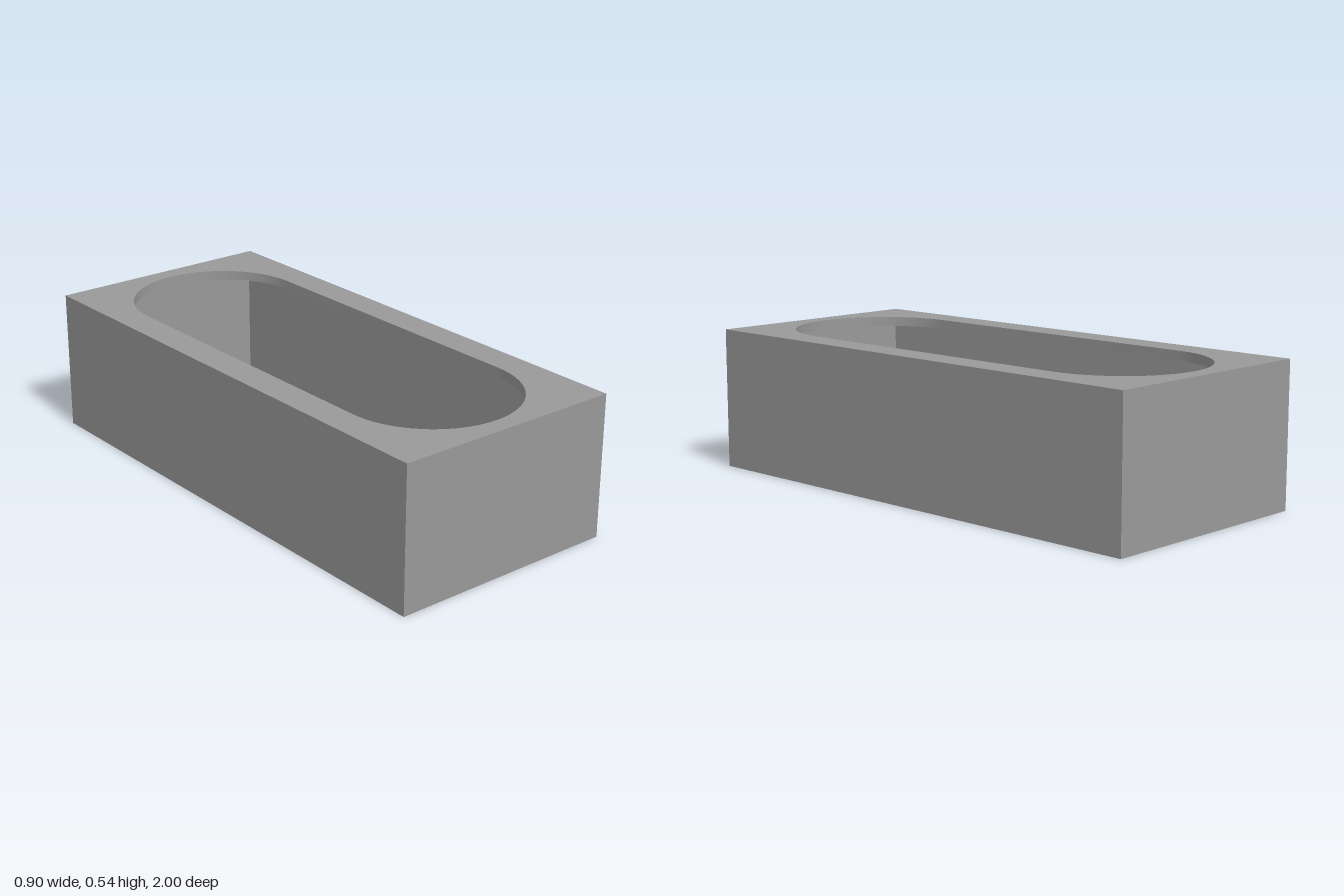
import * as THREE from 'three';
import { mergeGeometries, toCreasedNormals } from 'three/addons/utils/BufferGeometryUtils.js';

// Overall size and thicknesses
const W = 0.896, H = 0.54, L = 2;
const WALL = 0.03, FLOOR = 0.042, RIM = 0.036;

// Outlines, counter-clockwise
function rect(w, l) {
  const x = w / 2, z = l / 2;
  return [[-x, -z], [x, -z], [x, z], [-x, z]].map(([a, b]) => new THREE.Vector2(a, b));
}

// Two half circles joined by straight sides; straight = 0 gives a circle
function stadium(cx, r, straight, segments) {
  const points = [];
  for (const half of [0, 1]) {
    const last = straight > 0 ? segments : segments - 1;
    for (let i = 0; i <= last; i++) {
      const a = Math.PI * (half + i / segments);
      points.push(new THREE.Vector2(cx + r * Math.cos(a), (half ? -straight : straight) + r * Math.sin(a)));
    }
  }
  return points;
}

// Horizontal face at height y, looking up or down
function face(outline, hole, y, up) {
  const shape = new THREE.Shape(outline);
  if (hole) shape.holes.push(new THREE.Path(hole));
  return new THREE.ShapeGeometry(shape)
    .rotateX(up ? -Math.PI / 2 : Math.PI / 2)
    .translate(0, y, 0)
    .toNonIndexed();
}

// Upright wall along an outline, looking outward or inward
function wall(outline, y0, y1, inward) {
  const pos = [];
  outline.forEach((p, i) => {
    const q = outline[(i + 1) % outline.length];
    const [a, b] = inward ? [q, p] : [p, q];
    pos.push(a.x, y0, -a.y, b.x, y0, -b.y, b.x, y1, -b.y);
    pos.push(a.x, y0, -a.y, b.x, y1, -b.y, a.x, y1, -a.y);
  });
  const g = new THREE.BufferGeometry();
  g.setAttribute('position', new THREE.Float32BufferAttribute(pos, 3));
  g.computeVertexNormals();
  return toCreasedNormals(g, 0.5);
}

export function createModel() {
  const group = new THREE.Group();
  const grey = new THREE.MeshStandardMaterial({ color: 0x999999 });
  grey.name = 'grey';

  const add = (name, ...parts) => {
    parts.forEach((g) => g.deleteAttribute('uv'));
    const mesh = new THREE.Mesh(mergeGeometries(parts), grey);
    mesh.name = name;
    group.add(mesh);
  };

  const outer = rect(W, L);
  const inner = rect(W - 2 * WALL, L - 2 * WALL);
  const opening = stadium(0, 0.33, 0.6, 32);
  const drain = stadium(0.32, 0.04, 0, 16);

  // Outside box with the drain cut through its underside
  add('outerShell', wall(outer, 0, H, false), face(outer, drain, 0, false));

  // Flat rim with the rounded opening, and its underside over the basin
  add('rim',
    face(outer, opening, H, true),
    wall(opening, H - RIM, H, true),
    face(inner, opening, H - RIM, false));

  // Square-cornered basin under the rim
  add('basin', wall(inner, FLOOR, H - RIM, true), face(inner, drain, FLOOR, true));

  // Drain hole through the floor
  add('drainHole', wall(drain, 0, FLOOR, true));

  return group;
}
